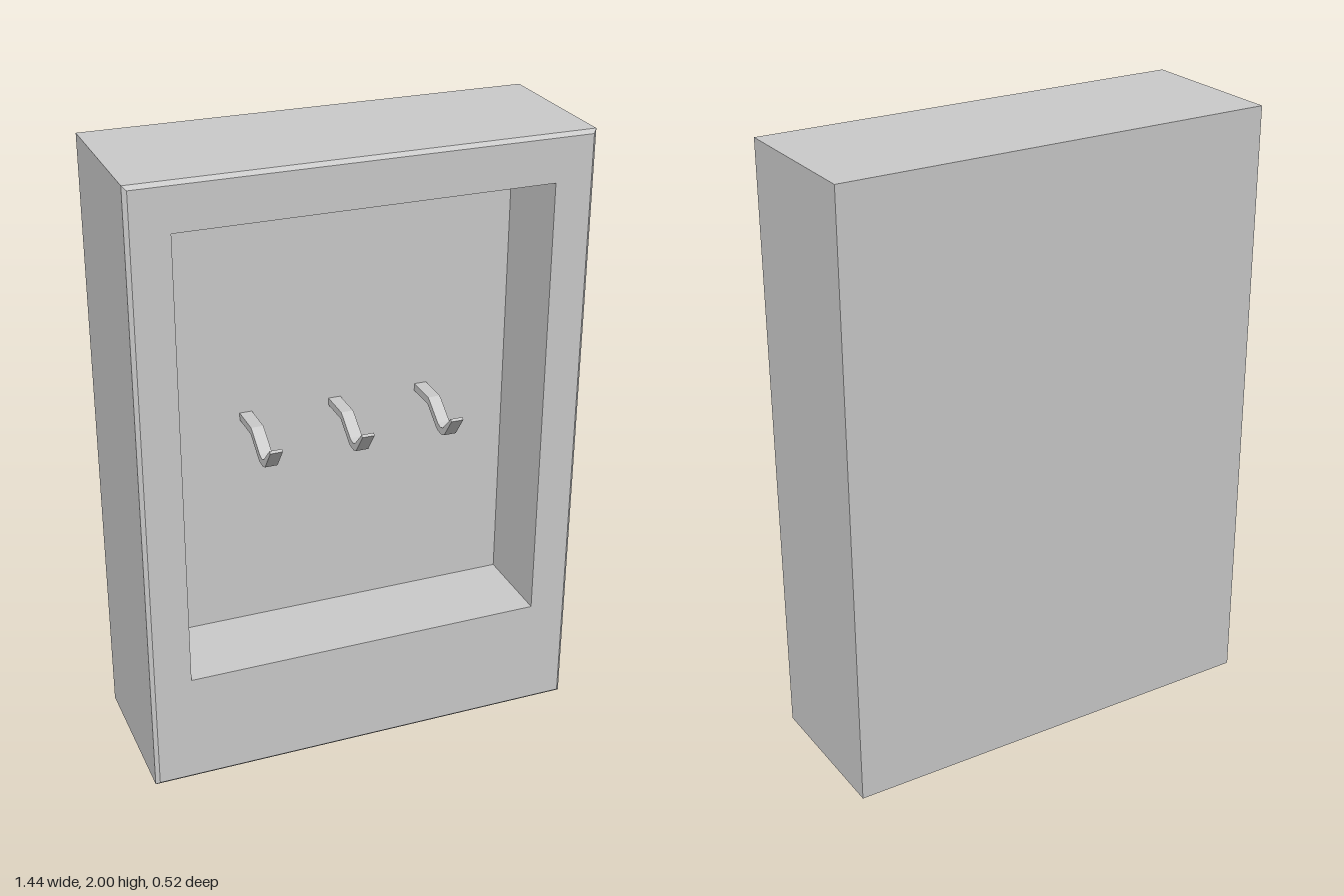
import * as THREE from 'three';

const material = new THREE.MeshStandardMaterial({ color: 0xcccccc, flatShading: true });

// Rectangular ring, counter-clockwise seen from the front
const ring = (halfW, y0, y1, z) => [[-halfW, y0, z], [halfW, y0, z], [halfW, y1, z], [-halfW, y1, z]];

// Skin successive rings and cap both ends
function loftRings(rings) {
  const pos = [];
  const quad = (a, b, c, d) => pos.push(...a, ...b, ...c, ...a, ...c, ...d);
  const first = rings[0];
  quad(first[0], first[3], first[2], first[1]);
  for (let i = 0; i < rings.length - 1; i++) {
    for (let j = 0; j < 4; j++) {
      const k = (j + 1) % 4;
      quad(rings[i][j], rings[i][k], rings[i + 1][k], rings[i + 1][j]);
    }
  }
  quad(...rings[rings.length - 1]);
  const geometry = new THREE.BufferGeometry();
  geometry.setAttribute('position', new THREE.Float32BufferAttribute(pos, 3));
  geometry.computeVertexNormals();
  return geometry;
}

// Bent flat hook: side profile in (z, y), extruded across its width
function hookGeometry(width) {
  const profile = [
    [-0.04, 1.122], [0.08, 1.122], [0.093, 1.114], [0.157, 1.068], [0.178, 1.062], [0.195, 1.068],
    [0.252, 1.125], [0.258, 1.118], [0.207, 1.048], [0.185, 1.04], [0.155, 1.043],
    [0.142, 1.05], [0.076, 1.098], [-0.04, 1.098],
  ];
  const shape = new THREE.Shape(profile.map(([z, y]) => new THREE.Vector2(z, y)));
  const geometry = new THREE.ExtrudeGeometry(shape, { depth: width, bevelEnabled: false });
  geometry.translate(0, 0, -width / 2);
  geometry.rotateY(-Math.PI / 2);
  return geometry;
}

export function createModel() {
  const group = new THREE.Group();
  group.name = 'keyCabinet';

  // Case: back, sides, front chamfer, face, then the recessed window
  const bevel = 0.012;
  const cabinet = new THREE.Mesh(loftRings([
    ring(0.72, 0, 2, -0.26),
    ring(0.72, 0, 2, 0.26 - bevel),
    ring(0.72 - bevel, bevel, 2 - bevel, 0.26),
    ring(0.59, 0.375, 1.85, 0.26),
    ring(0.59, 0.375, 1.85, -0.03),
  ]), material);
  cabinet.name = 'cabinetCase';
  group.add(cabinet);

  // Row of hooks on the recess wall
  const geometry = hookGeometry(0.04);
  for (let i = -1; i <= 1; i++) {
    const hook = new THREE.Mesh(geometry, material);
    hook.name = ['rightHook', 'middleHook', 'leftHook'][i + 1];
    hook.position.x = i * 0.296;
    group.add(hook);
  }
  return group;
}
